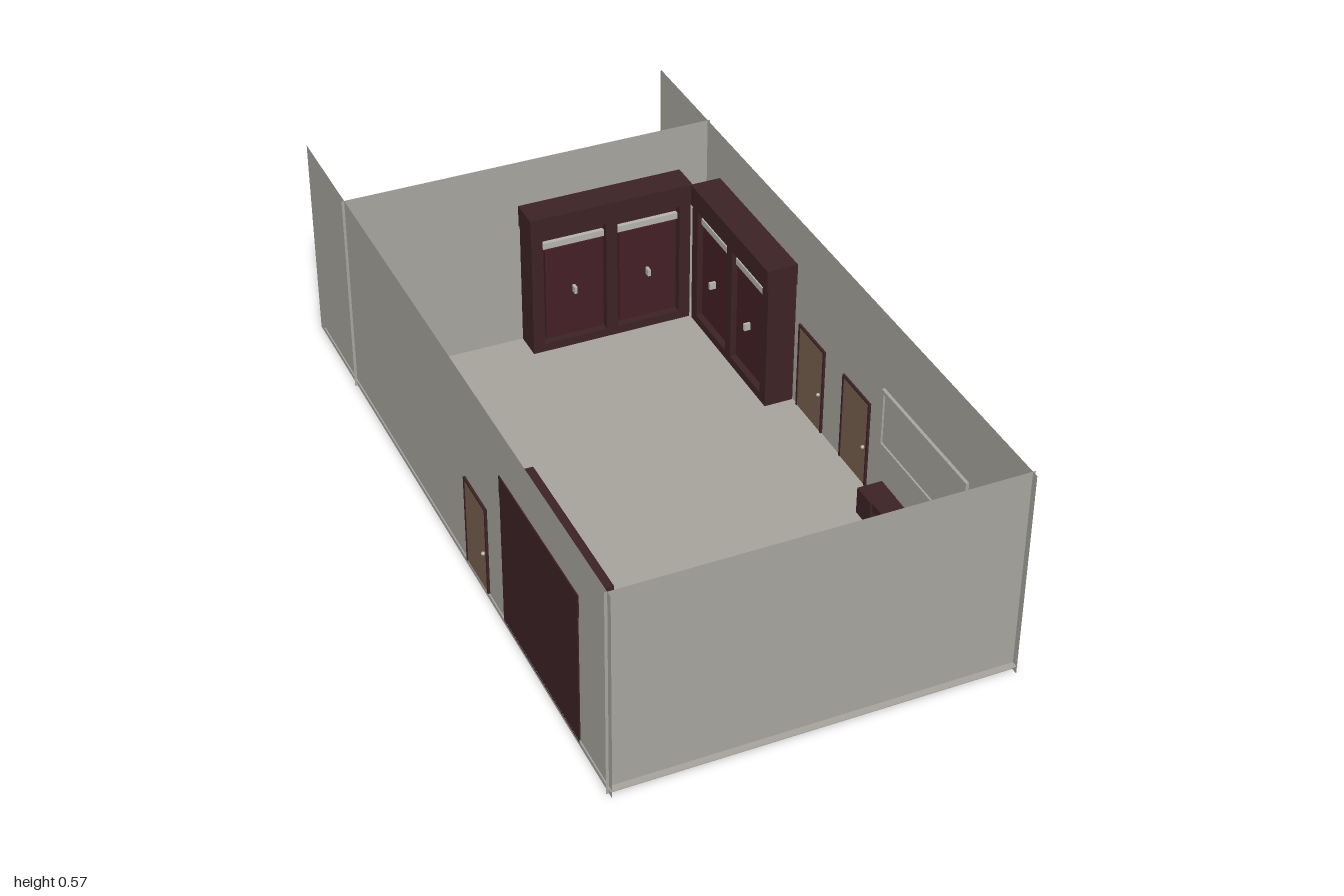
import * as THREE from 'three';

const mat = (name, color, side = THREE.FrontSide) => {
  const m = new THREE.MeshStandardMaterial({ color, side });
  m.name = name;
  return m;
};

export function createModel() {
  const wallGrey = mat('wall grey', 0xa6a59e, THREE.DoubleSide);
  const floorGrey = mat('floor grey', 0xa6a39c, THREE.DoubleSide);
  const darkWood = mat('dark red wood', 0x3c2225);
  const panelRed = mat('panel red', 0x421f26);
  const doorBrown = mat('door brown', 0x77604e);
  const metal = mat('light metal', 0xb4b3ac);
  const black = mat('canvas black', 0x2c2c2a);
  const paintGrey = mat('paint grey', 0x9c9c96);
  const paintBrown = mat('paint brown', 0x6a5140);

  const room = new THREE.Group();
  room.name = 'room';

  const group = (name, x, y, z, turn = 0) => {
    const g = new THREE.Group();
    g.name = name;
    g.position.set(x, y, z);
    g.rotation.y = turn;
    room.add(g);
    return g;
  };
  // Box given by its lower and upper limits on each axis
  const box = (parent, name, material, [x0, x1], [y0, y1], [z0, z1]) => {
    const m = new THREE.Mesh(new THREE.BoxGeometry(x1 - x0, y1 - y0, z1 - z0), material);
    m.position.set((x0 + x1) / 2, (y0 + y1) / 2, (z0 + z1) / 2);
    m.name = name;
    parent.add(m);
    return m;
  };
  const plane = (name, material, w, h, pos, rx, ry) => {
    const m = new THREE.Mesh(new THREE.PlaneGeometry(w, h), material);
    m.name = name;
    m.position.set(...pos);
    m.rotation.set(rx, ry, 0);
    room.add(m);
  };

  // Shell: floor, two long walls, front wall and cross wall
  const H = 0.57, LEFT = 0.503, RIGHT = -0.508;
  plane('floor', floorGrey, 1.017, 1.96, [-0.003, 0.021, 0.02], -Math.PI / 2, 0);
  plane('leftWall', wallGrey, 2, H, [LEFT, H / 2, 0], 0, Math.PI / 2);
  plane('rightWall', wallGrey, 2, H, [RIGHT, H / 2, 0], 0, -Math.PI / 2);
  plane('frontWall', wallGrey, 1.025, H, [-0.0025, H / 2, 0.982], 0, 0);
  plane('crossWall', wallGrey, 1.025, H, [-0.0025, H / 2, -0.697], 0, 0);

  // Doors, seen from both sides of the wall
  const addDoor = (x, z, turn) => {
    const d = group('door', x, 0.024, z, turn);
    box(d, 'doorLeaf', doorBrown, [-0.065, 0.065], [0, 0.245], [-0.004, 0.004]);
    for (const s of [-1, 1]) {
      box(d, 'doorJamb', darkWood, [s * 0.068 - 0.003, s * 0.068 + 0.003], [0, 0.251], [-0.006, 0.006]);
      const knob = new THREE.Mesh(new THREE.SphereGeometry(0.005, 12, 8), metal);
      knob.name = 'doorKnob';
      knob.position.set(turn > 0 ? -0.054 : 0.054, 0.111, s * 0.008);
      d.add(knob);
    }
    box(d, 'doorHead', darkWood, [-0.071, 0.071], [0.245, 0.251], [-0.006, 0.006]);
  };
  for (const z of [0.886, 0.188, -0.055]) addDoor(LEFT, z, Math.PI / 2);
  addDoor(RIGHT, 0.2, -Math.PI / 2);

  // Tall cabinets: carcass, columns, cornice and two recessed bays
  const addCabinet = (x, z, turn) => {
    const c = group('cabinet', x, 0.015, z, turn);
    box(c, 'cabinetBody', darkWood, [-0.228, 0.228], [0, 0.425], [0, 0.058]);
    box(c, 'cabinetCornice', darkWood, [-0.231, 0.231], [0.365, 0.425], [0, 0.085]);
    box(c, 'cabinetPlinth', darkWood, [-0.228, 0.228], [0, 0.03], [0, 0.08]);
    for (const px of [-0.212, 0, 0.212])
      box(c, 'cabinetColumn', darkWood, [px - 0.016, px + 0.016], [0.03, 0.365], [0.05, 0.08]);
    for (const s of [-1, 1]) {
      const m = s * 0.106;
      box(c, 'cabinetPanel', panelRed, [m - 0.08, m + 0.08], [0.04, 0.315], [0.05, 0.068]);
      box(c, 'cabinetStrip', metal, [m - 0.088, m + 0.088], [0.32, 0.338], [0.05, 0.07]);
      box(c, 'cabinetHandle', metal, [m - 0.004, m + 0.004], [0.17, 0.19], [0.068, 0.086]);
    }
  };
  addCabinet(0.19, -0.695, 0);
  addCabinet(0.501, -0.38, -Math.PI / 2);
  addCabinet(-0.511, 0.595, Math.PI / 2);

  // Low bench with block legs
  const bench = group('bench', 0, 0.015, 0.5375);
  box(bench, 'benchTop', darkWood, [0.437, 0.5], [0.055, 0.08], [-0.195, 0.195]);
  for (const s of [-1, 1])
    box(bench, 'benchLeg', darkWood, [0.432, 0.5], [0, 0.081], [s * 0.163 - 0.035, s * 0.163 + 0.035]);

  // Rectangular frame around an opening, in its own x-y plane
  const addFrame = (parent, w, h, t, depth, material) => {
    for (const s of [-1, 1]) {
      const ex = s * (w - t) / 2, ey = s * (h - t) / 2;
      box(parent, 'frameSide', material, [ex - t / 2, ex + t / 2], [-h / 2, h / 2], [0, depth]);
      box(parent, 'frameRail', material, [-w / 2, w / 2], [ey - t / 2, ey + t / 2], [0, depth]);
    }
  };
  // Pale framed panel over the bench
  const mirror = group('wallPanel', 0.5045, 0.28, 0.525, -Math.PI / 2);
  addFrame(mirror, 0.41, 0.165, 0.01, 0.01, wallGrey);
  box(mirror, 'panelFace', wallGrey, [-0.2, 0.2], [-0.078, 0.078], [0.002, 0.005]);

  // Large framed painting on the right wall
  const painting = group('painting', -0.5075, 0, -0.2875, Math.PI / 2);
  const frame = new THREE.Group();
  frame.name = 'paintingFrame';
  frame.position.y = 0.263;
  painting.add(frame);
  addFrame(frame, 0.415, 0.415, 0.022, 0.009, wallGrey);
  box(frame, 'canvas', black, [-0.195, 0.195], [-0.195, 0.195], [0, 0.004]);

  const paint = (name, material, pts) => {
    const shape = new THREE.Shape(pts.map(([z, y]) => new THREE.Vector2(-z - 0.2875, y)));
    const m = new THREE.Mesh(new THREE.ShapeGeometry(shape), material);
    m.name = name;
    m.position.z = 0.0055;
    painting.add(m);
  };
  paint('paintedCurve', paintGrey, [
    [-0.215, 0.346], [-0.215, 0.29], [-0.26, 0.232], [-0.342, 0.187], [-0.405, 0.185],
    [-0.432, 0.203], [-0.477, 0.19], [-0.477, 0.305], [-0.423, 0.315], [-0.405, 0.293],
    [-0.414, 0.26], [-0.378, 0.25], [-0.305, 0.267], [-0.269, 0.3], [-0.251, 0.332]]);
  paint('paintedPatch', paintBrown, [
    [-0.1, 0.072], [-0.1, 0.13], [-0.135, 0.14], [-0.18, 0.122], [-0.205, 0.09], [-0.195, 0.072]]);

  return room;
}
